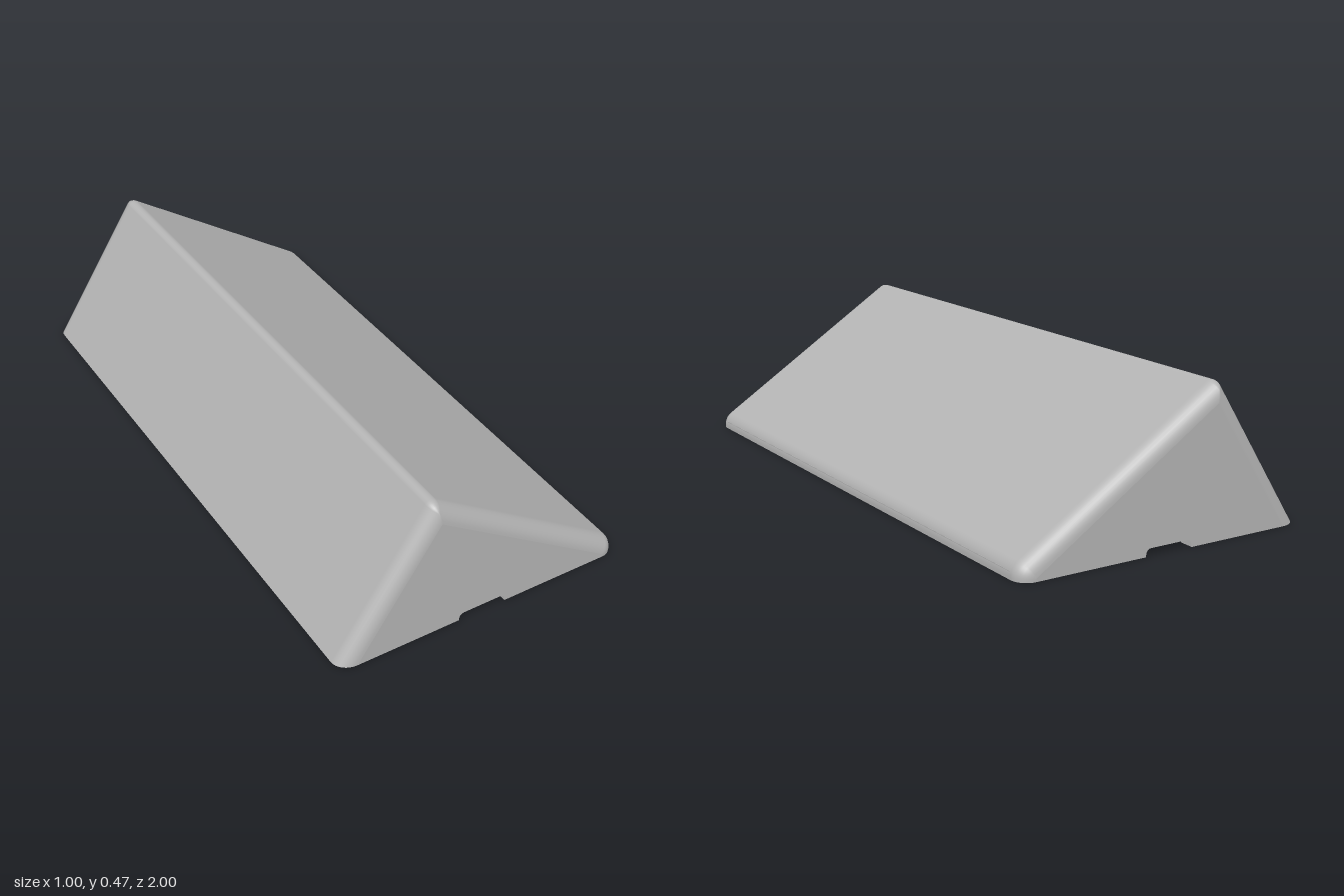
import * as THREE from 'three';

const RIGHT = THREE.MathUtils.degToRad(57);   // normal angle of the long slope
const LEFT = RIGHT + Math.PI / 2;             // normal angle of the short slope
const EDGE = 0.05;                            // rounding of the end edges
const RECESS = 0.024;                         // height of the base recess
const NOTCH = [-0.09, 0.075];

// Wedge cross-section, inset by d, running from the nose over the ridge to the foot
function section(d) {
  const pts = [];
  const arc = (cx, cy, r, a0, a1, n) => {
    for (let i = 0; i <= n; i++) {
      const a = a0 + (a1 - a0) * i / n;
      pts.push(new THREE.Vector2(cx + r * Math.cos(a), cy + r * Math.sin(a)));
    }
  };
  const nose = 0.055 - d;
  pts.push(new THREE.Vector2(0.442 + nose, 0));
  arc(0.442, 0.007, nose, 0, RIGHT, 8);
  const r = Math.max(0.025 - d, 0.003);
  const o1 = 0.3019 - d - r, o2 = 0.4195 - d - r;
  arc(Math.cos(RIGHT) * o1 + Math.cos(LEFT) * o2,
    Math.sin(RIGHT) * o1 + Math.sin(LEFT) * o2, r, RIGHT, LEFT, 8);
  pts.push(new THREE.Vector2((0.4195 - d) / Math.cos(LEFT), 0));
  return pts;
}

// Skin joining the cross-sections, with rounded end edges
function skinGeometry() {
  const half = [];
  for (let i = 0; i <= 8; i++) {
    const t = i / 8 * Math.PI / 2;
    half.push([1 - EDGE + EDGE * Math.sin(t), EDGE * (1 - Math.cos(t))]);
  }
  const rings = [...half.map(([z, d]) => [-z, d]).reverse(), ...half];
  const pos = [], index = [];
  let n = 0;
  rings.forEach(([z, d], i) => {
    const pts = section(d);
    n = pts.length;
    pts.forEach(p => pos.push(p.x, p.y, z));
    if (i === 0) return;
    for (let j = 0; j < n - 1; j++) {
      const a = (i - 1) * n + j, c = i * n + j;
      index.push(a, a + 1, c, a + 1, c + 1, c);
    }
  });
  const g = new THREE.BufferGeometry();
  g.setAttribute('position', new THREE.Float32BufferAttribute(pos, 3));
  g.setIndex(index);
  g.computeVertexNormals();
  return g;
}

// Flat end face with the cable notch cut from its lower edge
function endGeometry() {
  const s = new THREE.Shape(section(EDGE));
  const [l, r] = NOTCH, k = 0.018;
  s.lineTo(l, 0);
  s.quadraticCurveTo(l, RECESS, l + k, RECESS);
  s.lineTo(r - k, RECESS);
  s.quadraticCurveTo(r, RECESS, r, 0);
  s.closePath();
  return new THREE.ShapeGeometry(s, 6);
}

function rectPath(x0, x1, z0, z1) {
  return new THREE.Path([[x0, z0], [x0, z1], [x1, z1], [x1, z0]]
    .map(p => new THREE.Vector2(...p)));
}

// Extrude a plan shape (x, z) between two heights
function slab(shape, y0, y1) {
  const g = new THREE.ExtrudeGeometry(shape,
    { depth: y1 - y0, bevelEnabled: false, curveSegments: 6 });
  g.rotateX(Math.PI / 2);
  g.translate(0, y1, 0);
  return g;
}

// One half of the rim: a C shape ending at the notches, with small pits
function rimGeometry(side, notchX, outerX, innerX, pits) {
  const Z = 0.998, zi = 0.953, c = 0.055, s = new THREE.Shape();
  s.moveTo(notchX, Z);
  s.lineTo(outerX - side * c, Z);
  s.quadraticCurveTo(outerX - side * c * 0.25, Z - c * 0.25, outerX, Z - c);
  s.lineTo(outerX, c - Z);
  s.quadraticCurveTo(outerX - side * c * 0.25, c * 0.25 - Z, outerX - side * c, -Z);
  for (const [x, z] of [[notchX, -Z], [notchX, -zi], [innerX, -zi], [innerX, zi], [notchX, zi]]) s.lineTo(x, z);
  s.closePath();
  for (const x of pits) for (const z of [-0.974, 0.974])
    s.holes.push(rectPath(x - 0.014, x + 0.014, z - 0.01, z + 0.01));
  return slab(s, 0, RECESS);
}

// Base plate outline with rounded corners
function plateShape() {
  const x0 = -0.466, x1 = 0.475, z = 0.988, r = 0.06, s = new THREE.Shape();
  s.moveTo(x0 + r, -z);
  s.lineTo(x1 - r, -z);
  s.quadraticCurveTo(x1, -z, x1, r - z);
  s.lineTo(x1, z - r);
  s.quadraticCurveTo(x1, z, x1 - r, z);
  s.lineTo(x0 + r, z);
  s.quadraticCurveTo(x0, z, x0, z - r);
  s.lineTo(x0, r - z);
  s.quadraticCurveTo(x0, -z, x0 + r, -z);
  return s;
}

export function createModel() {
  const model = new THREE.Group();
  model.name = 'wedge';
  const grey = new THREE.MeshStandardMaterial({ color: 0xb4b4b4 });
  grey.name = 'grey';
  const add = (name, geometry) => {
    const m = new THREE.Mesh(geometry, grey);
    m.name = name;
    model.add(m);
    return m;
  };

  // Outer shell
  add('shell', skinGeometry());
  add('frontEnd', endGeometry()).position.z = 1;
  const back = endGeometry();
  back.setIndex(Array.from(back.index.array).reverse());
  back.computeVertexNormals();
  add('backEnd', back).position.z = -1;

  // Rim around the recessed base; the right half leans with the short slope
  add('leftRim', rimGeometry(1, NOTCH[1], 0.495, 0.468, [0.42, 0.105]));
  const lean = rimGeometry(-1, NOTCH[0], -0.498, -0.474, [-0.13, -0.435]);
  const p = lean.attributes.position;
  for (let i = 0; i < p.count; i++)
    if (p.getX(i) < NOTCH[0] - 0.01) p.setX(i, p.getX(i) + p.getY(i) * 0.65);
  lean.computeVertexNormals();
  add('rightRim', lean);

  // Recessed base plate with a shallow pocket near each end
  const plate = plateShape();
  plate.holes.push(rectPath(-0.4, 0.45, -0.93, -0.765), rectPath(-0.4, 0.45, 0.765, 0.93));
  add('basePlate', slab(plate, RECESS, RECESS + 0.012));
  for (const z of [-0.8475, 0.8475]) {
    const floor = new THREE.BoxGeometry(0.85, 0.004, 0.165);
    add('pocketFloor', floor).position.set(0.025, RECESS + 0.014, z);
  }
  return model;
}
